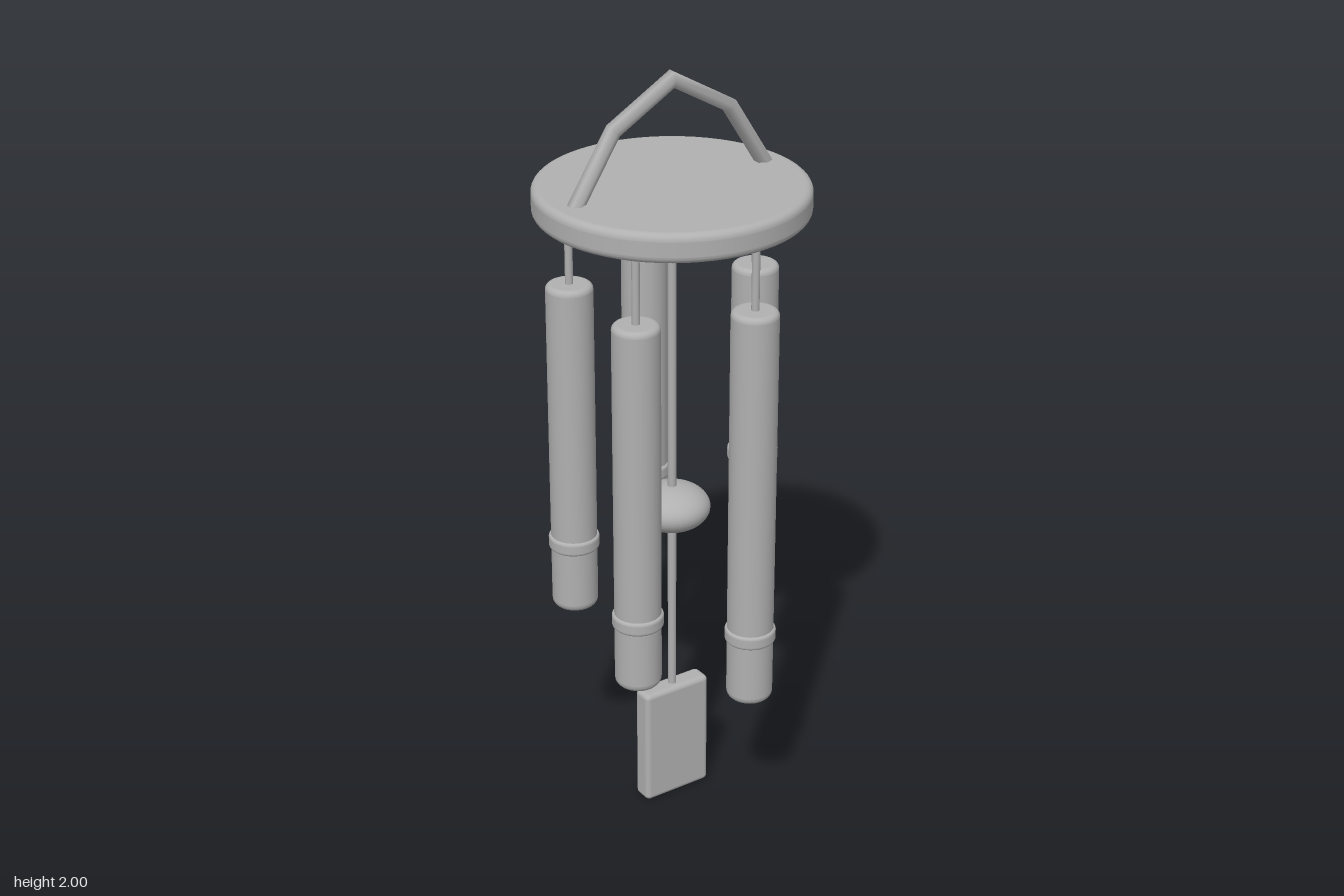
import * as THREE from 'three';
import { RoundedBoxGeometry } from 'three/addons/geometries/RoundedBoxGeometry.js';

const grey = new THREE.MeshStandardMaterial({ color: 0xb0b0b0 });

function add(parent, name, geometry, x = 0, y = 0, z = 0) {
  const mesh = new THREE.Mesh(geometry, grey);
  mesh.name = name;
  mesh.position.set(x, y, z);
  parent.add(mesh);
  return mesh;
}

// Upright cylinder from y0 to y1 with rounded rims
function roundedCylinder(r, y0, y1, bevelLow, bevelHigh, sides) {
  const pts = [new THREE.Vector2(0, y0), new THREE.Vector2(r - bevelLow - 0.001, y0)];
  const arc = (b, cy, from) => {
    for (let i = 0; i <= 5; i++) {
      const a = from + (i / 5) * Math.PI / 2;
      pts.push(new THREE.Vector2(r - b + b * Math.cos(a), cy + b * Math.sin(a)));
    }
  };
  arc(bevelLow, y0 + bevelLow, -Math.PI / 2);
  pts.push(new THREE.Vector2(r, y0 + bevelLow + 0.001), new THREE.Vector2(r, y1 - bevelHigh - 0.001));
  arc(bevelHigh, y1 - bevelHigh, 0);
  pts.push(new THREE.Vector2(r - bevelHigh - 0.001, y1), new THREE.Vector2(0, y1));
  return new THREE.LatheGeometry(pts, sides);
}

// Cord hanging from y1 down to y0
function cord(r, y0, y1) {
  return new THREE.CylinderGeometry(r, r, y1 - y0, 12).translate(0, (y0 + y1) / 2, 0);
}

// Six-sided rod following a bent path in the xy plane, with mitred corners
function bentRod(path, r) {
  const sides = 6, pos = [], index = [];
  const pts = path.map(([x, y]) => new THREE.Vector2(x, y));
  pts.forEach((p, i) => {
    const a = pts[Math.max(i - 1, 0)], b = pts[Math.min(i + 1, pts.length - 1)];
    const dIn = (i ? p.clone().sub(a) : b.clone().sub(p)).normalize();
    const dOut = (i < pts.length - 1 ? b.clone().sub(p) : dIn.clone()).normalize();
    const t = dIn.clone().add(dOut).normalize();
    const stretch = 1 / t.dot(dIn);
    for (let k = 0; k < sides; k++) {
      const ang = Math.PI / 6 + (k / sides) * Math.PI * 2;
      const n = r * Math.cos(ang) * stretch;
      pos.push(p.x - t.y * n, p.y + t.x * n, r * Math.sin(ang));
    }
  });
  for (let i = 0; i < pts.length - 1; i++) {
    for (let k = 0; k < sides; k++) {
      const a = i * sides + k, b = i * sides + (k + 1) % sides;
      index.push(a, a + sides, b, b, a + sides, b + sides);
    }
  }
  const g = new THREE.BufferGeometry();
  g.setAttribute('position', new THREE.Float32BufferAttribute(pos, 3));
  // Wind the faces outwards
  for (let i = 0; i < index.length; i += 3) [index[i + 1], index[i + 2]] = [index[i + 2], index[i + 1]];
  g.setIndex(index);
  g.computeVertexNormals();
  return g;
}

export function createModel() {
  const model = new THREE.Group();
  model.name = 'windChime';

  // Top disc and hanger; hanger feet end inside the disc
  add(model, 'topDisc', roundedCylinder(0.337, 1.65, 1.724, 0.018, 0.018, 64));
  add(model, 'hanger', bentRod(
    [[-0.29, 1.69], [-0.165, 1.885], [0, 1.98], [0.165, 1.885], [0.29, 1.69]], 0.02));

  // Five chime tubes on a circle
  const bottoms = [0.75, 0.385, 0.475, 0.565, 0.655];
  const top = 1.46;
  bottoms.forEach((bottom, i) => {
    const a = (i / 5) * Math.PI * 2;
    const chime = new THREE.Group();
    chime.name = 'chime' + (i + 1);
    chime.position.set(0.25 * Math.cos(a), 0, 0.25 * Math.sin(a));
    add(chime, 'chimeTube', roundedCylinder(0.059, bottom, top, 0.02, 0.014, 32));
    add(chime, 'chimeBand', roundedCylinder(0.065, bottom + 0.168, bottom + 0.205, 0.008, 0.008, 32));
    add(chime, 'chimeCord', cord(0.01, top - 0.01, 1.66));
    model.add(chime);
  });

  // Central cord, striker and wind sail
  add(model, 'centreCord', cord(0.011, 0.31, 1.66));
  add(model, 'striker', new THREE.SphereGeometry(0.098, 32, 20).scale(1, 0.6, 1), 0, 0.852, 0);
  add(model, 'windSail', new RoundedBoxGeometry(0.196, 0.327, 0.058, 3, 0.014), 0, 0.1635, 0);

  return model;
}
